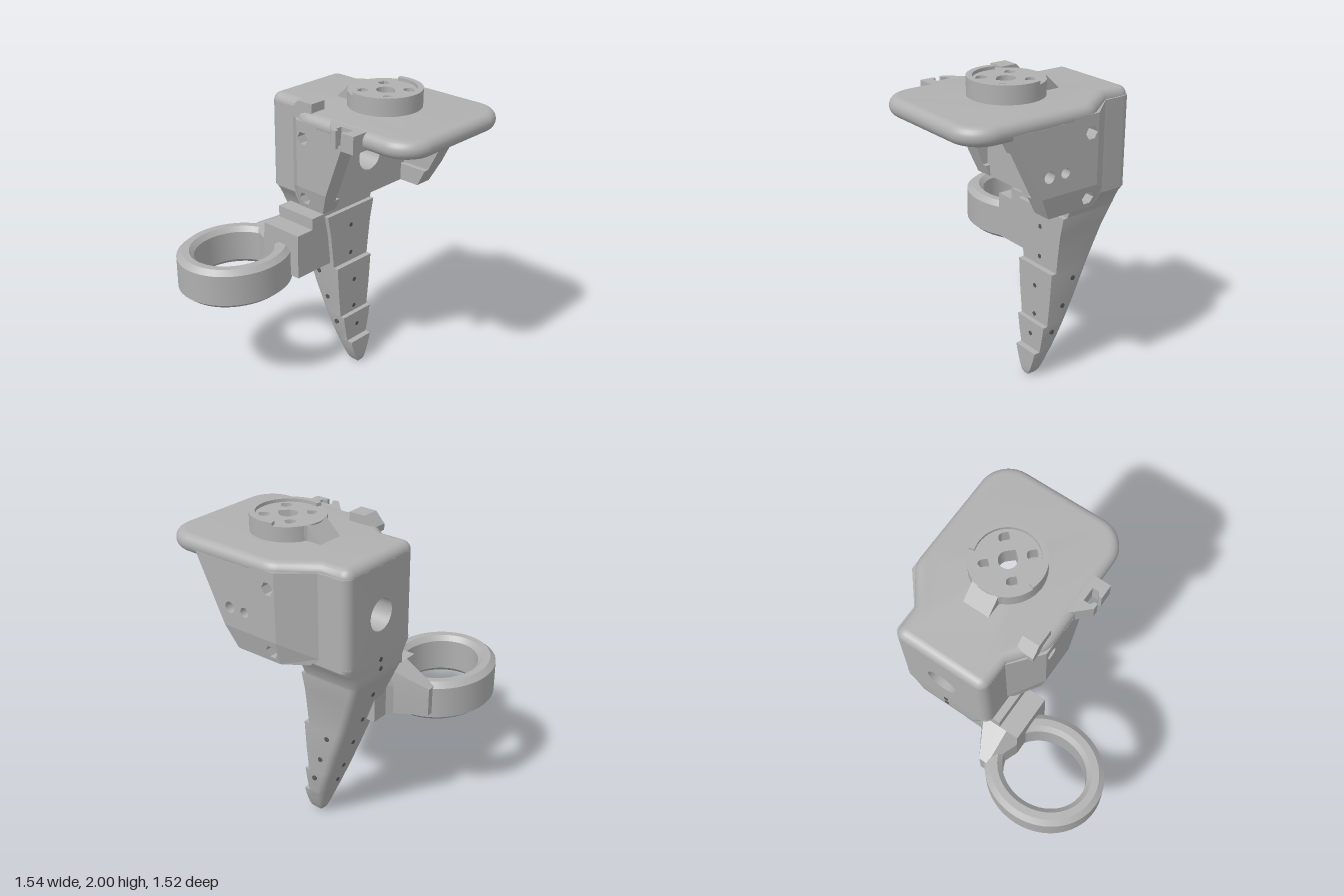
import * as THREE from 'three';
import { toCreasedNormals } from 'three/addons/utils/BufferGeometryUtils.js';

const grey = new THREE.MeshStandardMaterial({ color: 0xb0b0b0 });
grey.name = 'grey';
const shade = new THREE.MeshStandardMaterial({ color: 0x585858 });
shade.name = 'dark hole';
const MID = -0.305; // symmetry plane of the housing in z

export function createModel() {
  const root = new THREE.Group();
  const add = (name, geo, mat = grey, parent = root) => {
    const m = new THREE.Mesh(geo, mat);
    m.name = name;
    parent.add(m);
    return m;
  };
  const group = (name) => {
    const g = new THREE.Group();
    g.name = name;
    root.add(g);
    return g;
  };

  // Skin over equal-length rings of points; either capped or joined end to end
  function loft(rings, joined = false, crease = 0.6) {
    const n = rings[0].length, tris = [];
    const count = joined ? rings.length : rings.length - 1;
    for (let i = 0; i < count; i++) {
      const A = rings[i], B = rings[(i + 1) % rings.length];
      for (let j = 0; j < n; j++) {
        const k = (j + 1) % n;
        tris.push([A[j], A[k], B[k]], [A[j], B[k], B[j]]);
      }
    }
    if (!joined) {
      const centre = (r) => [0, 1, 2].map((a) => r.reduce((s, p) => s + p[a], 0) / n);
      const A = rings[0], B = rings[rings.length - 1], ca = centre(A), cb = centre(B);
      for (let j = 0; j < n; j++) {
        const k = (j + 1) % n;
        tris.push([ca, A[k], A[j]], [cb, B[j], B[k]]);
      }
    }
    // turn the faces outwards if the signed volume is negative
    let vol = 0;
    for (const [a, b, c] of tris) {
      vol += a[0] * (b[1] * c[2] - b[2] * c[1]) - a[1] * (b[0] * c[2] - b[2] * c[0]) + a[2] * (b[0] * c[1] - b[1] * c[0]);
    }
    if (vol < 0) tris.forEach((t) => t.reverse());
    const geo = new THREE.BufferGeometry();
    geo.setAttribute('position', new THREE.Float32BufferAttribute(tris.flat(2), 3));
    geo.computeVertexNormals();
    return toCreasedNormals(geo, crease);
  }

  const shapeOf = (pts) => new THREE.Shape(pts.map(([x, y]) => new THREE.Vector2(x, y)));
  const circle = (x, y, r) => new THREE.Path().absarc(x, y, r, 0, Math.PI * 2, true);
  const hexagon = (x, y, r) => new THREE.Path(Array.from({ length: 6 }, (_, i) =>
    new THREE.Vector2(x + r * Math.cos(-i * Math.PI / 3), y + r * Math.sin(-i * Math.PI / 3))));

  // Plan shape (x, -z) raised from y0 to y1
  function slab(shape, y0, y1, bevel = 0) {
    const geo = new THREE.ExtrudeGeometry(shape, {
      depth: y1 - y0 - 2 * bevel, curveSegments: 24, bevelEnabled: bevel > 0,
      bevelThickness: bevel, bevelSize: bevel, bevelOffset: -bevel, bevelSegments: 6,
    });
    geo.rotateX(-Math.PI / 2).translate(0, y0 + bevel, 0);
    return toCreasedNormals(geo, 0.6);
  }

  // Top plate with rounded edge
  const cx = 0.2, cy = -MID;
  const plate = new THREE.Shape();
  plate.moveTo(-0.41, 0.6).lineTo(-0.28, 0.6).lineTo(-0.1, 0.73).quadraticCurveTo(-0.06, 0.76, 0, 0.76);
  plate.lineTo(0.58, 0.76).absarc(0.58, 0.57, 0.19, Math.PI / 2, 0, true);
  plate.lineTo(0.77, 0.04).absarc(0.58, 0.04, 0.19, 0, -Math.PI / 2, true);
  plate.lineTo(0, -0.15).quadraticCurveTo(-0.06, -0.15, -0.1, -0.12).lineTo(-0.26, 0);
  plate.lineTo(-0.41, 0).absarc(-0.41, 0.06, 0.06, -Math.PI / 2, -Math.PI, true);
  plate.lineTo(-0.47, 0.54).absarc(-0.41, 0.54, 0.06, Math.PI, Math.PI / 2, true);
  plate.holes.push(circle(cx, cy, 0.168));
  add('topPlate', slab(plate, 1.78, 1.89, 0.054));

  // Mounting disc with teardrop holes, raised rim and ramp tab
  const teardrop = (x, y, r) => {
    const a = Math.PI / 4;
    return new THREE.Path().moveTo(x + r * 1.35, y).absarc(x, y, r, -a, a, true).lineTo(x + r * 1.35, y);
  };
  const mount = group('mountingDisc');
  const disc = new THREE.Shape().absarc(cx, cy, 0.225, 0, Math.PI * 2, false);
  disc.holes.push(teardrop(cx, cy, 0.055));
  for (const dx of [-0.1, 0.1]) for (const dy of [-0.095, 0.095]) disc.holes.push(teardrop(cx + dx, cy + dy, 0.032));
  add('disc', slab(disc, 1.855, 1.98), grey, mount);
  const arc = 1.88;
  const rim = new THREE.Shape().absarc(cx, cy, 0.225, -arc, arc, false);
  rim.absarc(cx, cy, 0.19, arc, -arc, true);
  add('rim', slab(rim, 1.975, 2), grey, mount);
  const neck = shapeOf([[-0.015, cy - 0.085], [0.1, cy - 0.2], [0.06, cy], [0.1, cy + 0.2], [-0.015, cy + 0.085]]);
  add('neck', slab(neck, 1.87, 1.979), grey, mount);
  const ramp = new THREE.ExtrudeGeometry(shapeOf([[-0.12, 1.88], [0, 1.88], [0, 1.979], [-0.015, 1.979]]), { depth: 0.17, bevelEnabled: false });
  add('ramp', ramp.translate(0, 0, MID - 0.085), grey, mount);

  // Small wedge and wire clip on the front edge
  const wedge = new THREE.ExtrudeGeometry(shapeOf([[-0.17, 1.88], [-0.17, 1.84], [0, 1.84], [0, 1.945], [-0.11, 1.945]]), { depth: 0.11, bevelEnabled: false });
  add('frontWedge', wedge.translate(0, 0, 0.005));
  const clip = shapeOf([[0.13, -0.09], [0.26, -0.225], [0.295, -0.225], [0.295, -0.205], [0.27, -0.19], [0.27, -0.15],
    [0.36, -0.15], [0.36, -0.19], [0.335, -0.205], [0.335, -0.225], [0.428, -0.225], [0.428, -0.09]]);
  add('wireClip', slab(clip, 1.78, 1.888));

  // Housing block with a round bore along x
  const rect = [];
  const box = [[-0.5, 0], [0.5, 0], [0.5, 1], [-0.5, 1]];
  for (let s = 0; s < 4; s++) for (let i = 0; i < 12; i++) {
    const p = box[s], q = box[(s + 1) % 4], t = i / 12;
    rect.push([p[0] + (q[0] - p[0]) * t, p[1] + (q[1] - p[1]) * t]);
  }
  const outer = (x, inset) => rect.map(([u, v]) => [x, 1.28 + v * 0.56, MID + u * (0.61 - 2 * inset)]);
  const bore = (x) => outer(x, 0).map(([, y, z]) => {
    const a = Math.atan2(y - 1.54, z - MID);
    return [x, 1.54 + 0.098 * Math.sin(a), MID + 0.098 * Math.cos(a)];
  });
  const blockRings = [bore(0.09), bore(-0.47)];
  for (let i = 0; i <= 6; i++) {
    const a = i / 6 * Math.PI / 2;
    blockRings.push(outer(-0.41 - 0.06 * Math.cos(a), 0.06 * (1 - Math.sin(a))));
  }
  blockRings.push(outer(0.09, 0));
  add('housingBlock', loft(blockRings, true));

  // Side walls: flat pieces whose outer face follows a slope and a lower taper
  function wall(name, side, e0, e1, pocket, holesB) {
    const g = group(name);
    const edge = (y) => e0 + (y - 1.28) / 0.5 * (e1 - e0);
    const face = (x, y) => Math.min(1, Math.max(0, (x + 0.27) / 0.18)) * (0.15 - Math.max(0, 1.42 - y) * 0.22);
    const piece = (pts, inner, holes = [], out = face) => {
      const s = shapeOf(pts);
      s.holes.push(...holes);
      const geo = new THREE.ExtrudeGeometry(s, { depth: 1, bevelEnabled: false, curveSegments: 16 });
      const p = geo.attributes.position;
      for (let i = 0; i < p.count; i++) {
        const isOut = (p.getZ(i) > 0.5) === (side > 0);
        const z = isOut ? out(p.getX(i), p.getY(i)) : inner;
        p.setZ(i, side > 0 ? z : 2 * MID - z);
      }
      geo.computeVertexNormals();
      add(name + 'Panel', geo, grey, g);
    };
    const quad = (x0, x1, y0, y1) => [[x0, y0], [x1, y0], [x1, y1], [x0, y1]];
    const toEdge = (y0, y1) => [[0.085, y0], [edge(y0), y0], [edge(y1), y1], [0.085, y1]];
    piece([[-0.27, 1.32], [-0.23, 1.28], [-0.09, 1.28], [-0.09, 1.42], [-0.27, 1.42]], -0.005);
    piece(quad(-0.27, -0.09, 1.42, 1.84), -0.005);
    piece(quad(-0.09, 0.085, 1.28, 1.42), -0.005, [hexagon(-0.04, 1.345, 0.042)]);
    piece(quad(-0.09, 0.085, 1.42, 1.84), -0.005, [hexagon(-0.04, 1.735, 0.042)]);
    piece(toEdge(1.28, 1.42), 0.035);
    piece(toEdge(1.42, 1.82), 0.035, holesB);
    // rims above and below the inner pocket
    piece(toEdge(1.28, pocket[0]), 0, [], () => 0.036);
    piece(toEdge(pocket[1], 1.82), 0, [], () => 0.036);
  }
  wall('frontWall', 1, 0.095, 0.28, [1.35, 1.72], []);
  wall('rearWall', -1, 0.23, 0.48, [1.39, 1.68], [circle(0.252, 1.54, 0.035), circle(0.14, 1.54, 0.03)]);

  // Tapering stepped leg: [y, right x, half width]
  const leftX = (y) => Math.max(-0.47, -0.47 + (1.15 - y) * 0.375);
  const legRows = [[1.3, -0.09, 0.303], [1.28, -0.09, 0.3], [1.24, -0.09, 0.268], [1.19, -0.09, 0.24], [1.15, -0.09, 0.222],
    [1.131, -0.09, 0.216], [1.13, -0.06, 0.216], [1.0, -0.06, 0.188], [0.85, -0.06, 0.17], [0.751, -0.06, 0.16], [0.75, -0.025, 0.16],
    [0.55, -0.025, 0.146], [0.381, -0.025, 0.128], [0.38, 0.005, 0.128], [0.28, 0.005, 0.112], [0.191, 0.005, 0.093],
    [0.19, 0.045, 0.093], [0.12, 0.045, 0.073], [0.06, 0.045, 0.05], [0.025, 0.044, 0.032], [0.008, 0.037, 0.018], [0, 0.02, 0.006]];
  const legRings = legRows.map(([y, xr, w]) => {
    const xl = y < 0.03 ? -0.05 + (0.03 - y) : leftX(y), r = Math.min(0.05, w * 0.6, (xr - xl) * 0.4);
    const half = [[xr, w]];
    for (let i = 0; i <= 5; i++) {
      const a = i / 5 * Math.PI / 2;
      half.push([xl + r - r * Math.sin(a), w - r + r * Math.cos(a)]);
    }
    return [...half, ...half.slice().reverse().map(([x, z]) => [x, -z])].map(([x, z]) => [x, y, MID + z]);
  });
  add('leg', loft(legRings));

  // Pin holes in the leg
  const holes = group('legHoles');
  const row = (y) => legRows.filter((r) => r[0] >= y).pop();
  for (const y of [1.26, 1.2, 1.01, 0.81, 0.62, 0.42, 0.29]) {
    const x0 = leftX(y) - 0.004, x1 = row(y)[1] + 0.002;
    const m = add('pinHole', new THREE.CylinderGeometry(0.015, 0.015, x1 - x0, 16), shade, holes);
    m.rotation.z = Math.PI / 2;
    m.position.set((x0 + x1) / 2, y, MID);
  }
  for (const [x, y] of [[-0.195, 0.685], [-0.13, 0.505], [-0.065, 0.33]]) {
    const m = add('crossHole', new THREE.CylinderGeometry(0.016, 0.016, 2 * row(y)[2] + 0.002, 16), shade, holes);
    m.rotation.x = Math.PI / 2;
    m.position.set(x, y, MID);
  }

  // Bracket from leg to ring, with a sloping shoulder and an upper step
  const plan = (y, min) => [[-0.09, 0.15], [-0.4, 0.15], [-0.6, 0.07], [-0.6, 0.01], [-0.42, -0.1], [-0.3, -0.25], [-0.09, -0.25]]
    .map(([x, z]) => [Math.max(x, min), y, z]);
  add('bracket', loft([plan(0.78, -0.6), plan(0.96, -0.6), plan(1.075, -0.39)], false, 0.2));
  const step = new THREE.BoxGeometry(0.3, 0.37, 0.27);
  add('bracketStep', step.translate(-0.24, 0.965, -0.115));

  // Oval ring with chamfered edges
  const profile = [[0, 0.75], [0, 0.95], [-0.035, 0.98], [-0.08, 0.98], [-0.11, 0.95], [-0.11, 0.75], [-0.08, 0.72], [-0.035, 0.72]];
  const ringRows = profile.map(([d, y]) => Array.from({ length: 72 }, (_, i) => {
    const a = i / 72 * Math.PI * 2;
    return [-0.43 + (0.34 + d) * Math.cos(a), y, 0.377 + (0.38 + d) * Math.sin(a)];
  }));
  add('ring', loft(ringRows, true, 0.4));

  return root;
}
